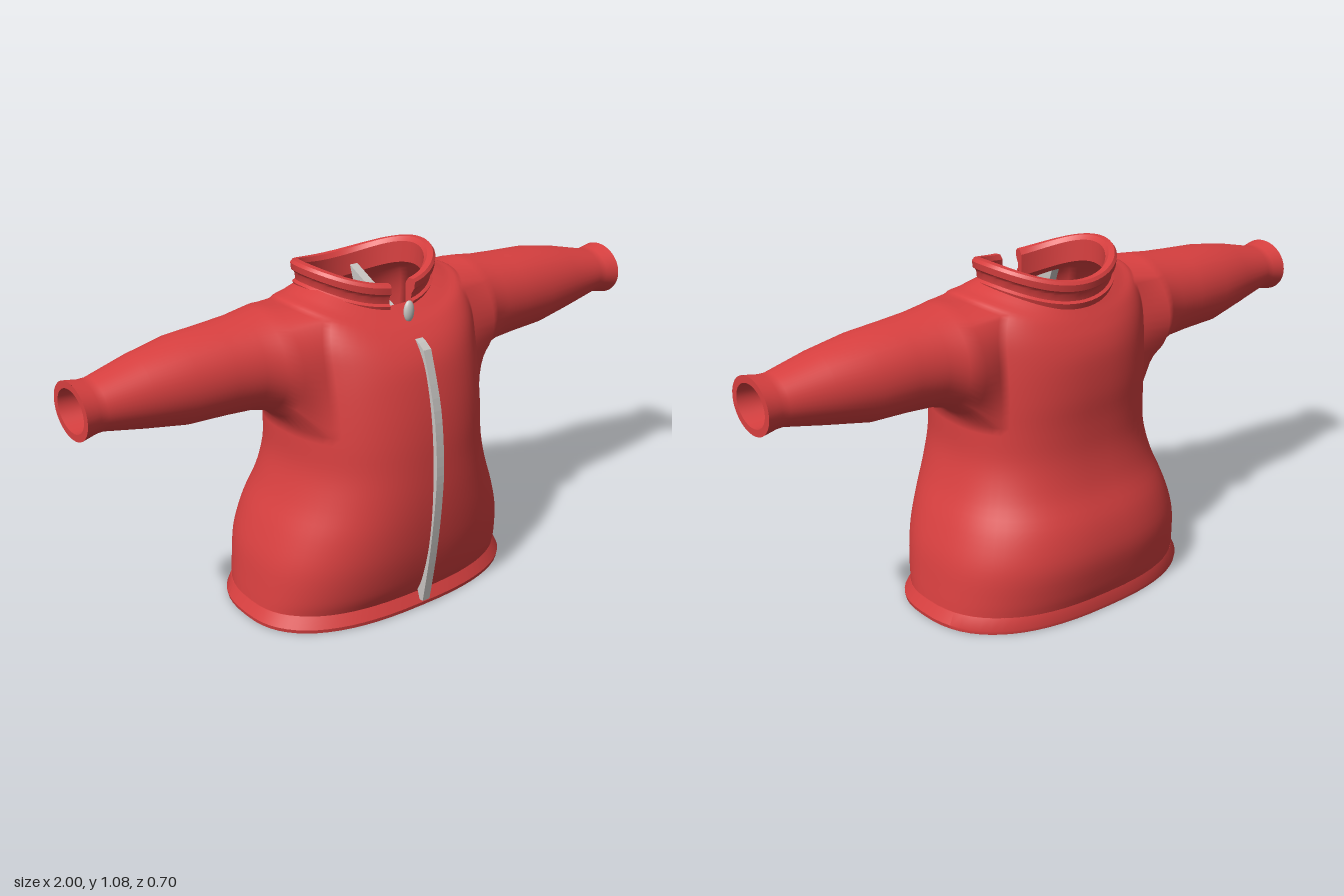
import * as THREE from 'three';
import { toCreasedNormals } from 'three/addons/utils/BufferGeometryUtils.js';

const V = (x, y, z) => new THREE.Vector3(x, y, z);
const SEG = 64, SUB = 4; // columns round the torso, rows per profile step

const fabric = new THREE.MeshStandardMaterial({ color: 0xd94040, side: THREE.DoubleSide });
fabric.name = 'red fabric';
const metal = new THREE.MeshStandardMaterial({ color: 0xc8c5c2, side: THREE.DoubleSide });
metal.name = 'zip grey';

// Rounded-square horizontal section: half width, front depth, back depth
function sectionPoint(a, yFront, ySide, yBack, w, f, b, p) {
  const c = Math.cos(a), s = Math.sin(a);
  const yEnd = s > 0 ? yFront : yBack;
  return V(
    w * Math.sign(c) * Math.abs(c) ** p,
    yEnd + (ySide - yEnd) * c * c,
    (s > 0 ? f : b) * Math.sign(s) * Math.abs(s) ** p);
}

function makeGeometry(points, index) {
  const g = new THREE.BufferGeometry().setFromPoints(points);
  g.setIndex(index);
  g.computeVertexNormals();
  return g;
}

function quad(index, a, b, c, d) {
  index.push(a, b, c, b, d, c);
}

// Skin between rows of points, with optional closing and end caps
function loft(rows, closed, capped = false) {
  const n = rows[0].length, index = [];
  for (let j = 0; j < rows.length - 1; j++) {
    for (let i = 0; i < (closed ? n : n - 1); i++) {
      const k = (i + 1) % n;
      quad(index, j * n + i, (j + 1) * n + i, j * n + k, (j + 1) * n + k);
    }
  }
  if (capped) {
    for (let j = 1; j < rows.length - 2; j++) {
      index.push(0, (j + 1) * n, j * n);
      index.push(n - 1, j * n + n - 1, (j + 1) * n + n - 1);
    }
  }
  return toCreasedNormals(makeGeometry(rows.flat(), index), 0.6);
}

// Torso profile: heights at front, side, back, then half width, front, back
const torsoProfile = [
  [0.04, 0.04, 0.04, 0.457, 0.266, 0.32],
  [0.1, 0.1, 0.1, 0.45, 0.294, 0.336],
  [0.2, 0.2, 0.2, 0.435, 0.32, 0.35],
  [0.3, 0.3, 0.3, 0.403, 0.334, 0.332],
  [0.4, 0.4, 0.4, 0.363, 0.34, 0.29],
  [0.5, 0.5, 0.5, 0.337, 0.339, 0.268],
  [0.6, 0.6, 0.6, 0.334, 0.334, 0.265],
  [0.7, 0.7, 0.7, 0.333, 0.32, 0.27],
  [0.8, 0.8, 0.8, 0.335, 0.295, 0.265],
  [0.86, 0.91, 0.86, 0.333, 0.264, 0.25],
  [0.905, 0.985, 0.905, 0.31, 0.225, 0.228],
  [0.935, 1.003, 0.94, 0.26, 0.19, 0.207],
  [0.965, 1.02, 0.965, 0.212, 0.155, 0.192],
];

// Sleeve stations: x, lowest y, highest y, back z, front z
const sleeveProfile = [
  [0.36, 0.655, 0.994, -0.195, 0.178],
  [0.4, 0.683, 0.991, -0.172, 0.152],
  [0.46, 0.7, 0.983, -0.157, 0.138],
  [0.55, 0.706, 0.976, -0.15, 0.13],
  [0.67, 0.71, 0.968, -0.145, 0.122],
  [0.8, 0.735, 0.945, -0.118, 0.105],
  [0.93, 0.763, 0.912, -0.09, 0.085],
  [0.955, 0.762, 0.912, -0.09, 0.087],
  [1.0, 0.752, 0.92, -0.097, 0.097],
];

// Torso with arm holes, each hole's edge continued outward as a sleeve
function bodyGeometry() {
  const points = [], index = [];
  const heights = new THREE.CatmullRomCurve3(torsoProfile.map(r => V(r[0], r[1], r[2])), false, 'catmullrom');
  const sizes = new THREE.CatmullRomCurve3(torsoProfile.map(r => V(r[3], r[4], r[5])), false, 'catmullrom');
  const rows = (torsoProfile.length - 1) * SUB;
  for (let j = 0; j <= rows; j++) {
    const t = j / rows, h = heights.getPoint(t), w = sizes.getPoint(t);
    for (let i = 0; i < SEG; i++) {
      points.push(sectionPoint(i / SEG * Math.PI * 2, h.x, h.y, h.z, w.x, w.y, w.z, 0.8 + 0.12 * t));
    }
  }
  const at = (j, i) => j * SEG + (i + SEG) % SEG;
  const low = 6 * SUB + 1, high = 10 * SUB, half = 6;
  const inHole = (j, i) => j >= low && j < high &&
    [0, SEG / 2, SEG].some(c => i >= c - half && i < c + half);
  for (let j = 0; j < rows; j++) {
    for (let i = 0; i < SEG; i++) {
      if (!inHole(j, i)) quad(index, at(j, i), at(j + 1, i), at(j, i + 1), at(j + 1, i + 1));
    }
  }
  for (const [centre, side] of [[0, 1], [SEG / 2, -1]]) {
    let ring = [];
    for (let i = -half; i < half; i++) ring.push(at(low, centre + i));
    for (let j = low; j < high; j++) ring.push(at(j, centre + half));
    for (let i = half; i > -half; i--) ring.push(at(high, centre + i));
    for (let j = high; j > low; j--) ring.push(at(j, centre - half));
    const angles = ring.map(k => Math.atan2((points[k].y - 0.815) / 0.17, points[k].z / 0.18));
    for (const [x, y0, y1, z0, z1] of sleeveProfile) {
      const next = angles.map(a => points.push(V(side * x,
        (y0 + y1) / 2 + (y1 - y0) / 2 * Math.sin(a),
        (z0 + z1) / 2 + (z1 - z0) / 2 * Math.cos(a))) - 1);
      ring.forEach((k, i) => {
        const m = (i + 1) % ring.length;
        quad(index, k, next[i], ring[m], next[m]);
      });
      ring = next;
    }
  }
  return makeGeometry(points, index);
}

// Flared band with thickness round the bottom edge
function hemGeometry() {
  const profile = [
    [0.05, 0.44, 0.25, 0.302], [0, 0.45, 0.262, 0.306], [0, 0.474, 0.286, 0.328],
    [0.012, 0.476, 0.288, 0.33], [0.05, 0.458, 0.268, 0.321], [0.05, 0.44, 0.25, 0.302],
  ];
  return loft(profile.map(([y, w, f, b]) => Array.from({ length: SEG }, (_, i) =>
    sectionPoint(i / SEG * Math.PI * 2, y, y, y, w, f, b, 0.8))), true);
}

// Turned-in lip at the sleeve end
function cuffGeometry(side) {
  const profile = [[1, 0.097, 0.084], [1, 0.075, 0.063], [0.93, 0.072, 0.06]];
  return loft(profile.map(([x, rz, ry]) => Array.from({ length: 40 }, (_, i) => {
    const a = side * i / 40 * Math.PI * 2;
    return V(side * x, 0.836 + ry * Math.sin(a), rz * Math.cos(a));
  })), true);
}

// Standing collar with a folded groove, open at the front
function collarGeometry() {
  const profile = [
    [-0.008, -0.012], [0.017, -0.016], [0.022, 0.002], [0.013, 0.008], [0.015, 0.028],
    [0.018, 0.034], [0.025, 0.04], [0.027, 0.06], [0.02, 0.069], [0.002, 0.069], [-0.008, 0.055], [-0.008, -0.012],
  ];
  const gap = 0.19;
  return loft(profile.map(([out, h]) => Array.from({ length: SEG + 1 }, (_, i) => {
    const a = Math.PI / 2 + gap + i / SEG * (Math.PI * 2 - 2 * gap);
    const c = Math.cos(a);
    return V((0.203 + out) * c, 0.964 + 0.052 * c * c + h, -0.02 + (0.168 + out) * Math.sin(a));
  })), false, true);
}

// Zip blade: curved outer edge, straight inner edge
function zipGeometry() {
  const shape = new THREE.Shape();
  shape.moveTo(0.285, 0.025);
  shape.lineTo(0.3, 0.025);
  shape.splineThru([[0.33, 0.2], [0.35, 0.38], [0.354, 0.52], [0.335, 0.69], [0.285, 0.86]]
    .map(p => new THREE.Vector2(...p)));
  shape.lineTo(0.262, 0.876);
  shape.lineTo(-0.068, 1.03);
  const g = new THREE.ExtrudeGeometry(shape, { depth: 0.028, bevelEnabled: false, curveSegments: 4 });
  return g.translate(0, 0, -0.014).rotateY(-Math.PI / 2);
}

export function createModel() {
  const model = new THREE.Group();
  model.name = 'jacket';
  const add = (name, geometry, material) => {
    const mesh = new THREE.Mesh(geometry, material);
    mesh.name = name;
    model.add(mesh);
    return mesh;
  };
  add('bodyAndSleeves', bodyGeometry(), fabric);
  add('hem', hemGeometry(), fabric);
  add('collar', collarGeometry(), fabric);
  add('leftCuff', cuffGeometry(1), fabric);
  add('rightCuff', cuffGeometry(-1), fabric);
  add('zip', zipGeometry(), metal);
  const pull = add('zipPull', new THREE.SphereGeometry(1, 20, 14), metal);
  pull.scale.set(0.018, 0.033, 0.012);
  pull.position.set(0, 0.954, 0.198);
  return model;
}
